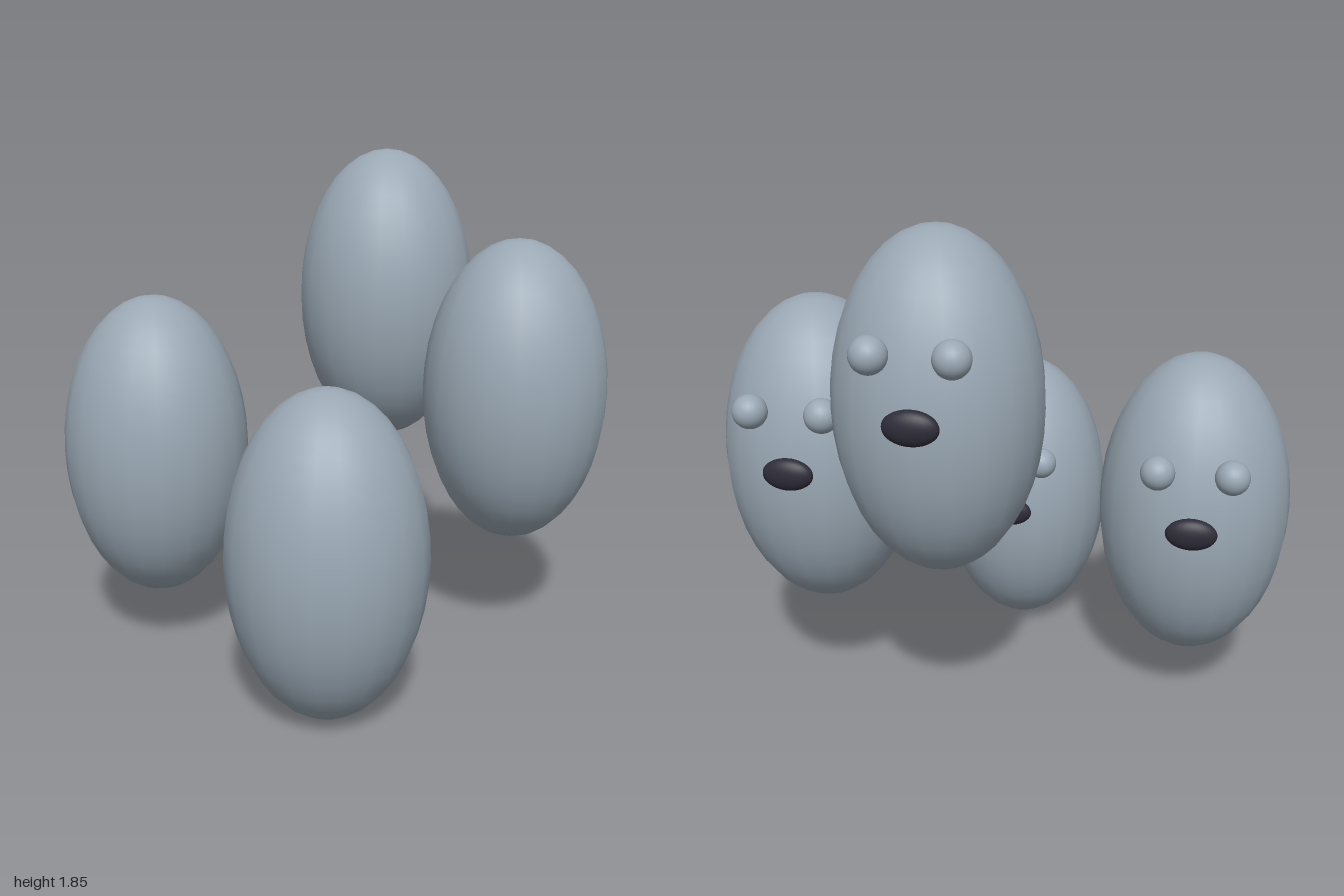
import * as THREE from 'three';

const skin = new THREE.MeshStandardMaterial({ color: 0x9aa8b4 });
skin.name = 'greyBlueSkin';
const dark = new THREE.MeshStandardMaterial({ color: 0x2e2c38 });
dark.name = 'darkMouth';

const sphere = new THREE.SphereGeometry(1, 20, 20);

function ellipsoid(name, material, radii, position) {
  const geometry = sphere.clone().scale(...radii);
  const mesh = new THREE.Mesh(geometry, material);
  mesh.name = name;
  mesh.position.set(...position);
  return mesh;
}

// One egg-shaped figure whose face looks toward -z
function createFigure() {
  const figure = new THREE.Group();
  figure.add(ellipsoid('body', skin, [0.34, 0.565, 0.34], [0, 0, 0]));
  for (const side of [-1, 1]) {
    figure.add(ellipsoid(side > 0 ? 'leftEye' : 'rightEye', skin,
      [0.058, 0.058, 0.058], [side * 0.122, 0.245, -0.324]));
  }
  figure.add(ellipsoid('mouth', dark, [0.087, 0.056, 0.035], [0, 0.04, -0.345]));
  return figure;
}

export function createModel() {
  const model = new THREE.Group();
  model.name = 'eggFigures';
  // Centres of the four figures
  const centres = [
    [-0.66, 0.775, 0.02],
    [0.15, 1.285, -0.485],
    [0.66, 0.977, -0.18],
    [0.05, 0.57, 0.53],
  ];
  centres.forEach((centre, i) => {
    const figure = createFigure();
    figure.name = `figure${i + 1}`;
    figure.position.set(...centre);
    model.add(figure);
  });
  return model;
}
